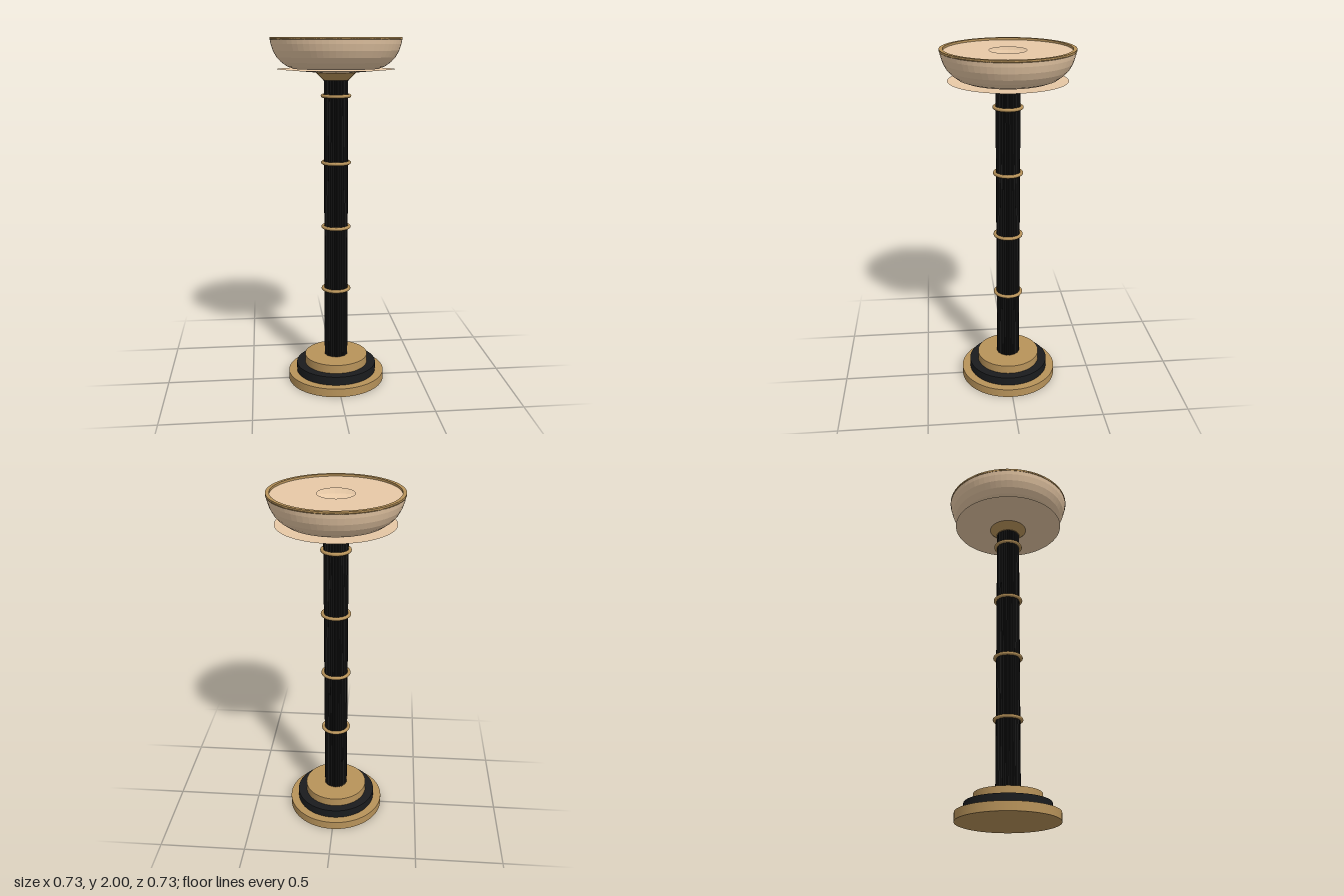
import * as THREE from 'three';

export function createModel() {
  const model = new THREE.Group();
  const gold = new THREE.MeshStandardMaterial({ color: 0xb8935a, side: THREE.DoubleSide });
  const black = new THREE.MeshStandardMaterial({ color: 0x1a1c1e });
  const fluted = new THREE.MeshStandardMaterial({ color: 0x171717, flatShading: true });
  const cream = new THREE.MeshStandardMaterial({ color: 0xe8c9a6, side: THREE.DoubleSide });
  const creamFaceted = new THREE.MeshStandardMaterial({ color: 0xe8c9a6, side: THREE.DoubleSide, flatShading: true });

  const add = (name, geometry, material, y = 0) => {
    const mesh = new THREE.Mesh(geometry, material);
    mesh.name = name;
    mesh.position.y = y;
    model.add(mesh);
    return mesh;
  };
  const lathe = (points) => new THREE.LatheGeometry(points.map(([r, y]) => new THREE.Vector2(r, y)), 64);

  // Three stepped base tiers
  [['baseLower', 0.283, gold], ['baseMiddle', 0.235, black], ['baseUpper', 0.185, gold]].forEach(([name, r, mat], i) => {
    add(name, new THREE.CylinderGeometry(r, r, 0.05, 64), mat, 0.025 + i * 0.05);
  });

  // Fluted column: alternating ridge and groove radii around a cylinder
  const flutes = 32;
  const column = new THREE.CylinderGeometry(1, 1, 1.63, flutes * 2);
  const p = column.attributes.position;
  for (let i = 0; i < p.count; i++) {
    const x = p.getX(i), z = p.getZ(i);
    if (Math.hypot(x, z) < 0.5) continue;
    const step = Math.round((Math.atan2(z, x) / Math.PI) * flutes);
    const r = step % 2 === 0 ? 0.068 : 0.062;
    p.setX(i, x * r);
    p.setZ(i, z * r);
  }
  add('column', column, fluted, 0.965);

  // Evenly spaced column rings
  for (let i = 0; i < 4; i++) {
    const ring = new THREE.TorusGeometry(0.075, 0.01, 10, 48).rotateX(Math.PI / 2);
    add('columnRing' + (i + 1), ring, gold, 0.562 + i * 0.374);
  }

  // Flared collar under the bowl
  add('collar', new THREE.CylinderGeometry(0.11, 0.07, 0.04, 64), gold, 1.79);

  // Thin, slightly conical dish between collar and bowl
  add('dish', lathe([[0.1, 1.811], [0.325, 1.83]]), cream);

  // Bowl shell, open at the bottom
  add('bowl', lathe([
    [0.235, 1.832], [0.27, 1.845], [0.302, 1.868], [0.327, 1.895],
    [0.346, 1.93], [0.357, 1.965], [0.362, 1.992],
  ]), creamFaceted);

  // Bowl cover with a round opening
  add('bowlCover', new THREE.RingGeometry(0.1, 0.346, 64).rotateX(-Math.PI / 2), cream, 1.988);

  // Flat rim band
  add('rim', lathe([[0.343, 1.988], [0.363, 1.988], [0.363, 1.992]]), gold);
  add('rimTop', new THREE.RingGeometry(0.343, 0.363, 64).rotateX(-Math.PI / 2), gold, 2);
  add('rimInner', new THREE.CylinderGeometry(0.343, 0.343, 0.012, 64, 1, true), gold, 1.994);
  add('rimOuter', new THREE.CylinderGeometry(0.363, 0.363, 0.012, 64, 1, true), gold, 1.994);

  return model;
}
